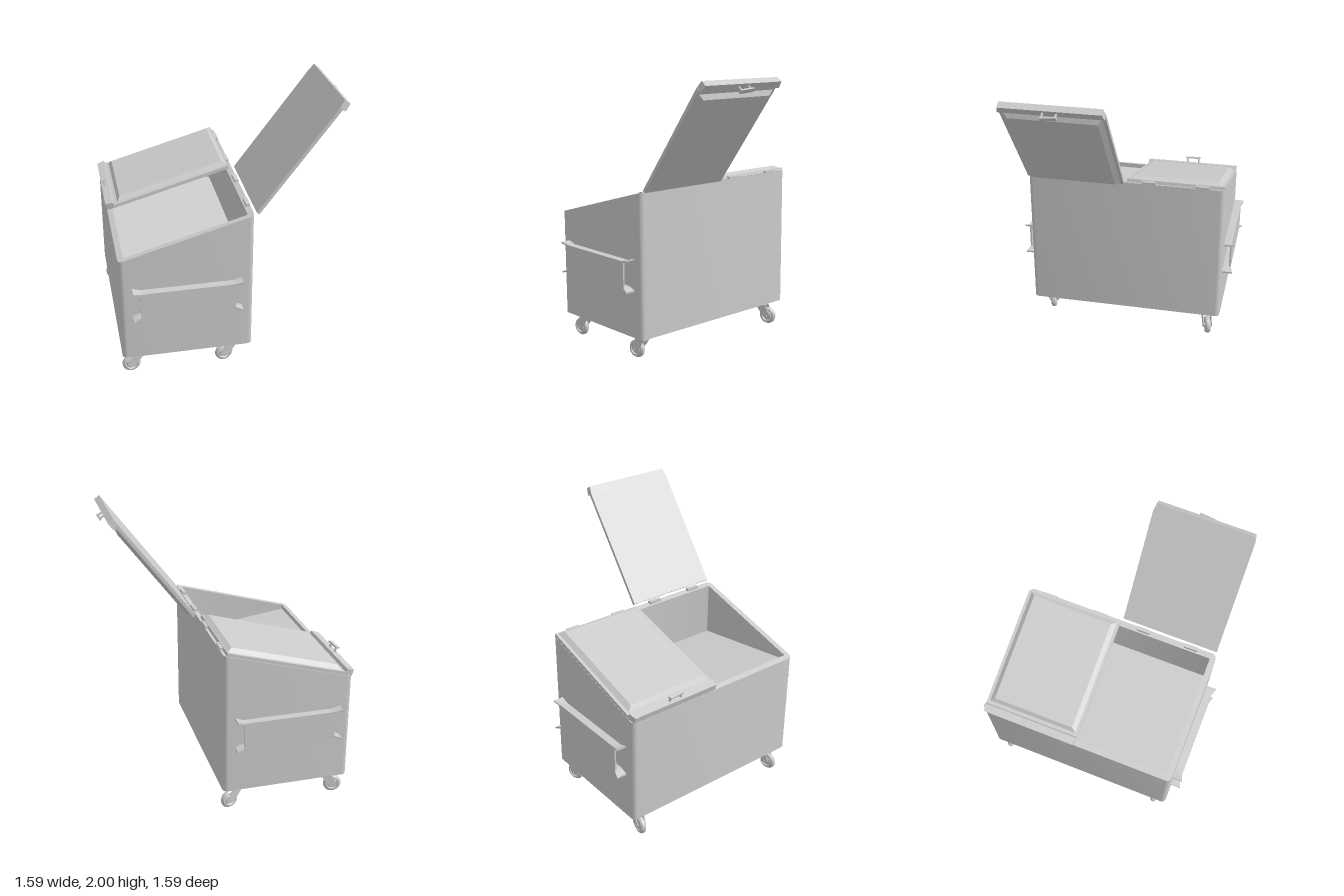
import * as THREE from 'three';
import { toCreasedNormals } from 'three/addons/utils/BufferGeometryUtils.js';

const grey = new THREE.MeshStandardMaterial({ color: 0xcccccc, side: THREE.DoubleSide });
const X0 = -0.76, X1 = 0.165, HALF_Z = 0.72, BASE = 0.19;
const SLOPE = Math.atan2(0.262, X1 - X0);
const rimY = (x) => 1.235 + (x - X1) * Math.tan(SLOPE);

function add(parent, name, geometry, x = 0, y = 0, z = 0) {
  const mesh = new THREE.Mesh(geometry, grey);
  mesh.name = name;
  mesh.position.set(x, y, z);
  parent.add(mesh);
  return mesh;
}

const box = (w, h, d) => new THREE.BoxGeometry(w, h, d);

// Moves every vertex by a rule that edits the vector in place
function bend(geometry, rule) {
  const p = geometry.attributes.position;
  const v = new THREE.Vector3();
  for (let i = 0; i < p.count; i++) {
    rule(v.fromBufferAttribute(p, i));
    p.setXYZ(i, v.x, v.y, v.z);
  }
  geometry.computeVertexNormals();
  return geometry;
}

// Rounded rectangle outline, x by z
function outline(x0, x1, hz, r) {
  const s = new THREE.Shape();
  s.absarc(x1 - r, hz - r, r, 0, Math.PI / 2);
  s.absarc(x0 + r, hz - r, r, Math.PI / 2, Math.PI);
  s.absarc(x0 + r, -hz + r, r, Math.PI, Math.PI * 1.5);
  s.absarc(x1 - r, -hz + r, r, Math.PI * 1.5, Math.PI * 2);
  s.closePath();
  return s;
}

// Open bin with a sloping rim and a shallow, tilted inner floor
function makeBody() {
  const group = new THREE.Group();
  group.name = 'body';
  const shape = outline(X0, X1, HALF_Z, 0.035);
  shape.holes.push(outline(X0 + 0.04, X1 - 0.04, HALF_Z - 0.04, 0.005));
  const walls = new THREE.ExtrudeGeometry(shape, { depth: 1, bevelEnabled: false, curveSegments: 6 });
  walls.rotateX(-Math.PI / 2);
  bend(walls, (v) => { v.y = BASE + v.y * (rimY(v.x) - BASE); });
  add(group, 'walls', toCreasedNormals(walls, 0.7));

  const floor = bend(box(X1 - X0 - 0.07, 1, 2 * HALF_Z - 0.07), (v) => {
    v.y = v.y < 0 ? BASE : 0.89 - v.x * 0.142;
  });
  add(group, 'innerFloor', floor, (X0 + X1) / 2);
  return group;
}

// Lid lying along -x from its hinge at the origin, outer face up
function makeLid(name, z, angle) {
  const lid = new THREE.Group();
  lid.name = name;
  add(lid, 'lidPlate', box(0.89, 0.024, 0.71), -0.465, 0.014);

  // Raised centre panel with bevelled sides
  const panel = bend(box(0.85, 0.028, 0.67), (v) => {
    if (v.y > 0) { v.x -= Math.sign(v.x) * 0.03; v.z -= Math.sign(v.z) * 0.035; }
  });
  add(lid, 'raisedPanel', panel, -0.45, 0.038);

  // Front lip with tapered ends
  const lip = bend(box(0.07, 0.048, 0.71), (v) => {
    if (v.x < 0) v.z -= Math.sign(v.z) * 0.012;
    if (v.x > 0 && v.y > 0) v.x -= 0.015;
  });
  add(lid, 'frontLip', lip, -0.925, 0.025);

  // Small pull handle
  for (const side of [-1, 1]) {
    add(lid, 'pullPost', box(0.012, 0.045, 0.012), -0.935, 0.068, side * 0.045);
  }
  const grip = add(lid, 'pullGrip', box(0.03, 0.012, 0.115), -0.935, 0.088);
  grip.rotation.y = 0.1;

  lid.position.set(X1, 1.235, z);
  lid.rotation.z = angle;
  return lid;
}

// Side sleeve: outer plate held by two flanges with flared ends
function makeSleeve(side) {
  const sleeve = new THREE.Group();
  sleeve.name = side > 0 ? 'frontLiftSleeve' : 'backLiftSleeve';
  add(sleeve, 'outerPlate', box(0.66, 0.19, 0.012), 0, 0, 0.05);
  for (const up of [-1, 1]) {
    const flange = bend(new THREE.BoxGeometry(0.76, 0.012, 0.056, 14, 1, 1), (v) => {
      const flare = Math.max(0, (Math.abs(v.x) - 0.325) / 0.055);
      v.y += up * flare * 0.02;
      if (v.z > 0) v.z += flare * 0.018;
    });
    add(sleeve, 'flange', flange, 0, up * 0.093, 0.028);
  }
  sleeve.position.set(-0.297, 0.645, side * HALF_Z);
  if (side < 0) sleeve.rotation.y = Math.PI;
  return sleeve;
}

// Swivel caster trailing toward -x
function makeCaster(x, z, yaw) {
  const caster = new THREE.Group();
  caster.name = 'caster';
  add(caster, 'mountPlate', box(0.125, 0.012, 0.1), 0, 0.184);
  add(caster, 'swivel', new THREE.CylinderGeometry(0.042, 0.034, 0.03, 16), 0, 0.165);

  const arm = new THREE.Shape([
    [0.035, 0.155], [-0.045, 0.155], [-0.085, 0.08], [-0.07, 0.05], [-0.04, 0.055], [0.005, 0.11],
  ].map(([a, b]) => new THREE.Vector2(a, b)));
  for (const side of [-1, 1]) {
    const fork = new THREE.ExtrudeGeometry(arm, { depth: 0.006, bevelEnabled: false });
    add(caster, 'forkArm', fork, 0, 0, side * 0.031 - 0.003);
  }
  add(caster, 'forkCrown', box(0.075, 0.012, 0.066), -0.005, 0.149);

  // Rounded tyre around a narrower hub
  const profile = [
    [0, -0.018], [0.03, -0.018], [0.036, -0.012], [0.042, -0.022], [0.057, -0.018], [0.065, -0.007],
    [0.065, 0.007], [0.057, 0.018], [0.042, 0.022], [0.036, 0.012], [0.03, 0.018], [0, 0.018],
  ].map(([r, h]) => new THREE.Vector2(r, h));
  const wheel = toCreasedNormals(new THREE.LatheGeometry(profile, 24), 0.6);
  add(caster, 'wheel', wheel.rotateX(Math.PI / 2), -0.06, 0.065);
  add(caster, 'axle', new THREE.CylinderGeometry(0.01, 0.01, 0.076, 10).rotateX(Math.PI / 2), -0.06, 0.065);

  caster.position.set(x, 0, z);
  caster.rotation.y = yaw;
  return caster;
}

export function createModel() {
  const model = new THREE.Group();
  model.name = 'wasteContainer';
  model.add(makeBody());
  model.add(makeLid('closedLid', -0.365, SLOPE));
  model.add(makeLid('openLid', 0.355, -Math.PI + Math.atan2(0.8, 0.6)));

  // Hinge leaves along the high edge
  for (const z of [-0.56, -0.17, 0.165, 0.53]) {
    add(model, 'hinge', box(0.028, 0.022, 0.1), 0.15, 1.238, z);
  }

  for (const side of [1, -1]) model.add(makeSleeve(side));

  model.add(makeCaster(-0.635, 0.61, 0.12));
  model.add(makeCaster(-0.635, -0.61, -0.15));
  model.add(makeCaster(0.04, 0.61, 0.15));
  model.add(makeCaster(0.04, -0.61, Math.PI + 0.3));
  return model;
}
